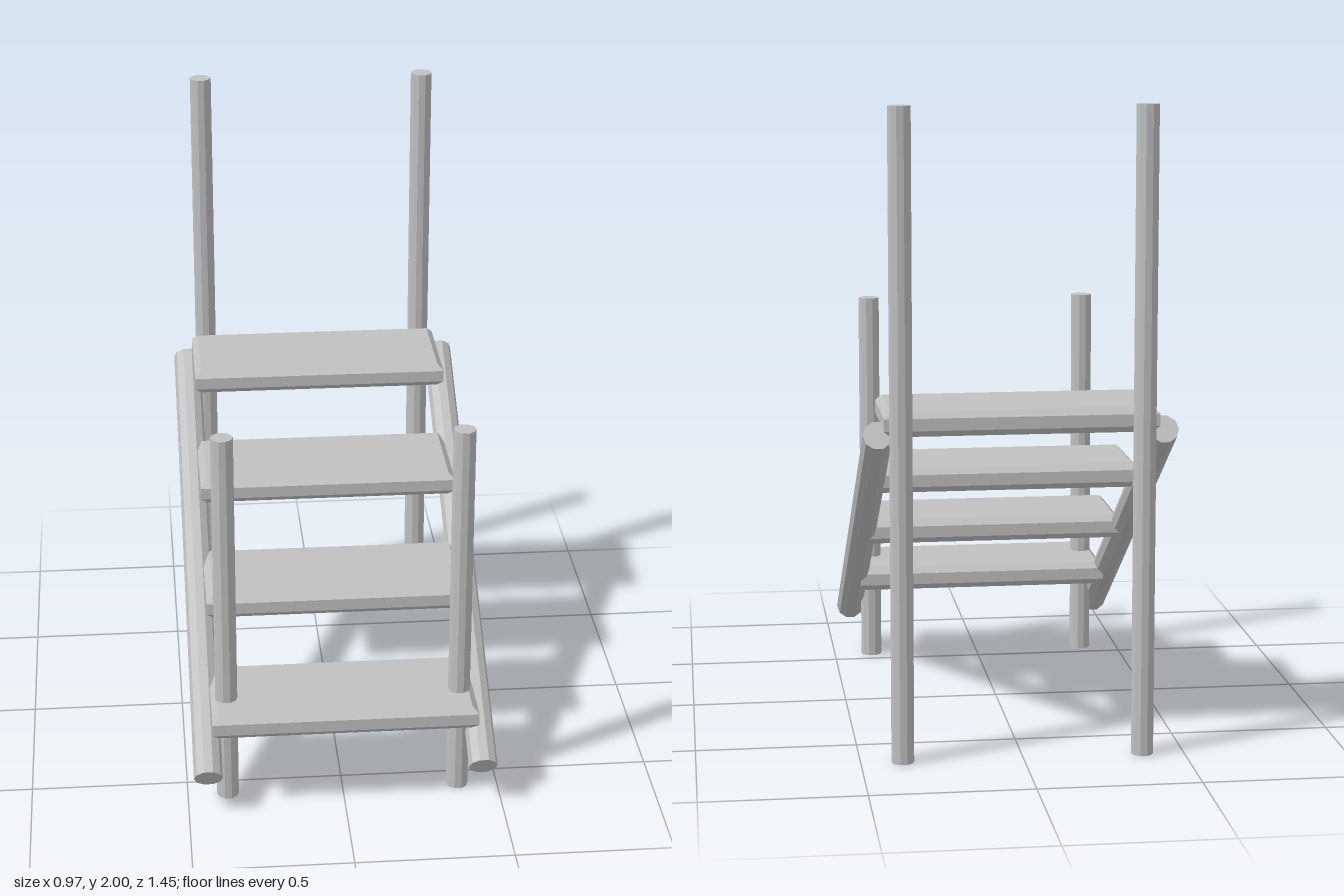
import * as THREE from 'three';

export function createModel() {
  const model = new THREE.Group();
  model.name = 'openStaircase';
  const grey = new THREE.MeshStandardMaterial({ color: 0xc0c0c0 });
  grey.name = 'plain grey';
  grey.flatShading = true;

  const add = (name, geometry, x, y, z) => {
    const mesh = new THREE.Mesh(geometry, grey);
    mesh.name = name;
    mesh.position.set(x, y, z);
    model.add(mesh);
    return mesh;
  };

  // Ten-sided rod standing on y, with a corner towards each side
  const rod = (radius, length) =>
    new THREE.CylinderGeometry(radius, radius, length, 10).rotateY(Math.PI / 2);

  // Plank with chamfers on every edge
  const plank = (w, h, d, c) => {
    const x = w / 2 - c, z = d / 2 - c;
    const shape = new THREE.Shape([
      new THREE.Vector2(-x, -z), new THREE.Vector2(x, -z),
      new THREE.Vector2(x, z), new THREE.Vector2(-x, z),
    ]);
    return new THREE.ExtrudeGeometry(shape, {
      depth: h - 2 * c, bevelThickness: c, bevelSize: c, bevelSegments: 1,
    }).translate(0, 0, c - h / 2).rotateX(-Math.PI / 2);
  };

  // Four treads climbing towards the back
  const tread = plank(0.84, 0.078, 0.35, 0.02);
  for (let i = 0; i < 4; i++) {
    add('tread' + (i + 1), tread, 0, 0.316 + 0.2425 * i, 0.533 - 0.345 * i);
  }

  // Sloping side beams and upright posts, mirrored
  const low = new THREE.Vector3(0, 0.141, 0.704);
  const high = new THREE.Vector3(0, 1.01, -0.65);
  const slope = high.clone().sub(low);
  const mid = low.clone().add(high).multiplyScalar(0.5);
  for (const [side, s] of [['left', 1], ['right', -1]]) {
    const beam = add(side + 'Stringer', rod(0.046, slope.length()), s * 0.437, mid.y, mid.z);
    beam.rotation.x = Math.atan2(slope.z, slope.y);
    add(side + 'FrontPost', rod(0.035, 1.265), s * 0.371, 0.6325, 0.573);
    add(side + 'BackPost', rod(0.035, 2), s * 0.371, 1, -0.69);
  }
  return model;
}
